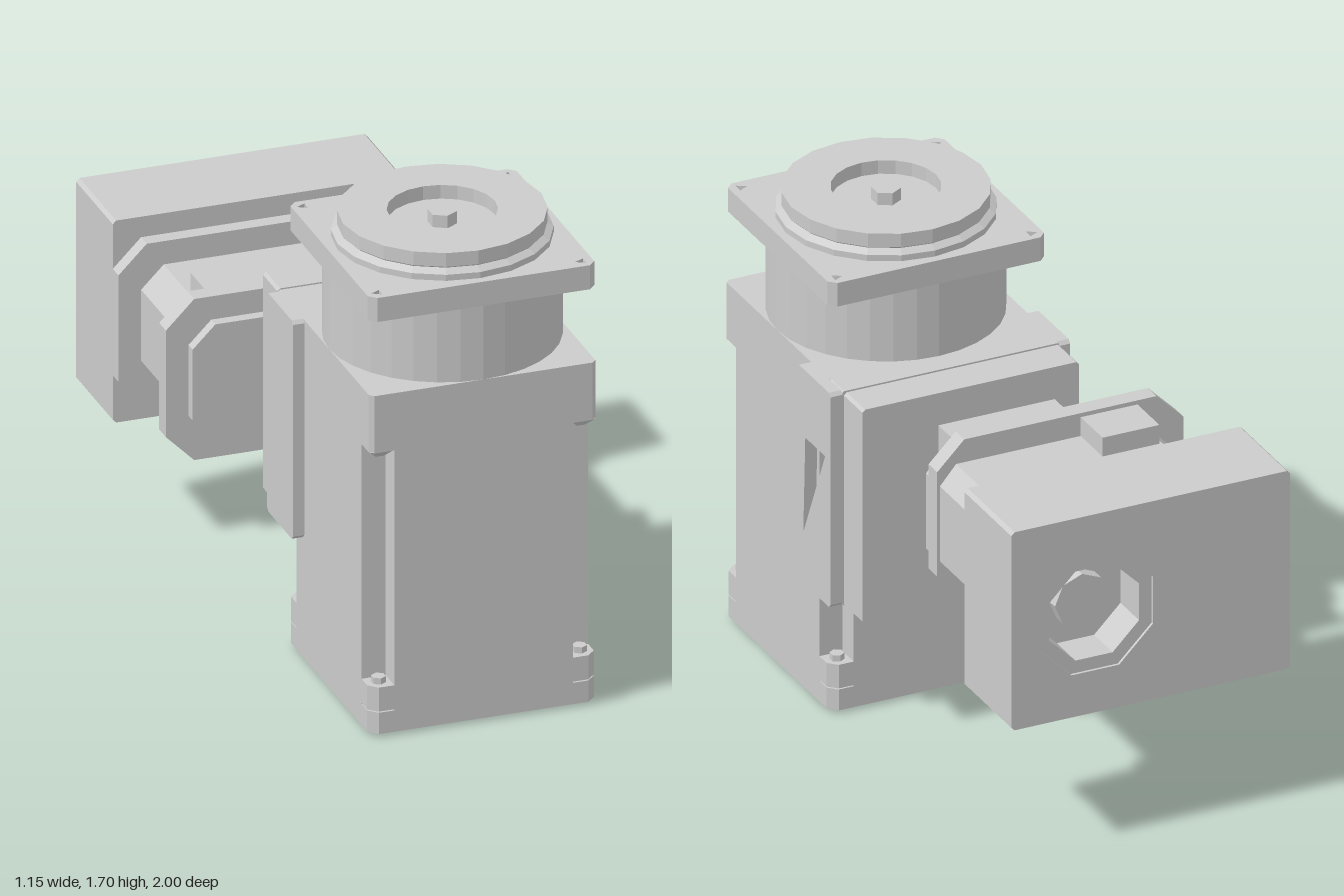
import * as THREE from 'three';

const material = new THREE.MeshStandardMaterial({ color: 0xcccccc, flatShading: true, side: THREE.DoubleSide });

// Rectangle centred on (cx, cy) with chamfered corners
function rect(cx, cy, w, h, c = 0.01) {
  const x = w / 2, y = h / 2;
  return poly([[-x + c, -y], [x - c, -y], [x, -y + c], [x, y - c], [x - c, y], [-x + c, y], [-x, y - c], [-x, -y + c]]
    .map(([a, b]) => [a + cx, b + cy]));
}

function poly(points) {
  return new THREE.Shape(points.map(([x, y]) => new THREE.Vector2(x, y)));
}

// Regular polygon used for round holes and discs
function ngon(cx, cy, r, n, turn = 0) {
  return poly(Array.from({ length: n }, (_, i) => {
    const a = (i / n) * Math.PI * 2 + turn;
    return [cx + r * Math.cos(a), cy + r * Math.sin(a)];
  }));
}

function withHoles(shape, ...holes) {
  shape.holes.push(...holes);
  return shape;
}

export function createModel() {
  const model = new THREE.Group();
  const gearbox = new THREE.Group();
  gearbox.name = 'gearbox';
  gearbox.position.set(0.13, 0, 0.6);
  model.add(gearbox);

  function add(parent, name, geometry) {
    const mesh = new THREE.Mesh(geometry, material);
    mesh.name = name;
    parent.add(mesh);
    return mesh;
  }
  const extrude = (shape, depth) => new THREE.ExtrudeGeometry(shape, { depth, bevelEnabled: false });
  // Horizontal slab between two heights
  const slabY = (name, shape, y0, y1) =>
    add(gearbox, name, extrude(shape, y1 - y0).rotateX(-Math.PI / 2).translate(0, y0, 0));
  // Upright slab between two depths
  const slabZ = (name, shape, z0, z1) => add(model, name, extrude(shape, z1 - z0).translate(0, 0, z0));
  const box = (name, x0, x1, y0, y1, z0, z1) => add(model, name,
    new THREE.BoxGeometry(x1 - x0, y1 - y0, z1 - z0).translate((x0 + x1) / 2, (y0 + y1) / 2, (z0 + z1) / 2));

  // Housing: base, notched column and full-width head
  slabY('baseRing', withHoles(ngon(0, 0, 0.33, 16), ngon(0, 0, 0.2, 14)), 0, 0.012);
  slabY('basePlate', withHoles(rect(0, 0, 0.8, 0.8, 0.03), ngon(0, 0, 0.2, 14)), 0.01, 0.088);
  slabY('baseCorners', rect(0, 0, 0.8, 0.8, 0.03), 0.092, 0.18);
  const a = 0.4, n = 0.315;
  slabY('column', poly([[-n, -a], [n, -a], [n, -n], [a, -n], [a, n], [n, n], [n, a], [-n, a], [-n, n], [-a, n], [-a, -n], [-n, -n]]), 0.08, 1.1);
  slabY('housingHead', rect(0, 0, 0.8, 0.8, 0.015), 1.04, 1.25);

  // Sloped roofs above the notches and screw heads on their floors
  for (const sx of [-1, 1]) for (const sz of [-1, 1]) {
    const screw = add(gearbox, 'baseScrew', new THREE.CylinderGeometry(0.025, 0.025, 0.025, 6));
    screw.position.set(sx * 0.355, 0.19, sz * 0.355);
    const roof = add(gearbox, 'notchRoof', new THREE.CylinderGeometry(0.06, 0.02, 0.03, 4, 1).rotateY(Math.PI / 4));
    roof.position.set(sx * 0.355, 1.027, sz * 0.355);
  }

  // Round neck, square flange and output disc
  add(gearbox, 'neck', new THREE.CylinderGeometry(0.4, 0.4, 0.28, 32).translate(0, 1.385, 0));
  const corner = 0.36;
  const boltHoles = [[-1, -1], [-1, 1], [1, -1], [1, 1]].map(([x, z]) => ngon(x * corner, z * corner, 0.022, 3, 1));
  slabY('outputFlange', withHoles(rect(0, 0, 0.8, 0.8, 0.025), ...boltHoles), 1.52, 1.608);
  const profile = [[0.37, 1.6], [0.37, 1.63], [0.345, 1.645], [0.35, 1.65], [0.35, 1.7], [0.185, 1.7], [0.185, 1.65], [0, 1.65]];
  add(gearbox, 'outputDisc', new THREE.LatheGeometry(profile.map(([r, y]) => new THREE.Vector2(r, y)), 20));
  add(gearbox, 'outputShaft', new THREE.CylinderGeometry(0.05, 0.05, 0.05, 6).translate(0, 1.67, 0));

  // Clamp wrapped round the back of the housing
  slabZ('clampBack', rect(0.13, 0.85, 0.8, 0.8, 0.005), 0.11, 0.21);
  for (const side of [-1, 1]) {
    const cheek = rect(0.235, 0.85, 0.25, 0.8, 0.012);
    if (side > 0) withHoles(cheek, poly([[0.3, 1], [0.15, 1], [0.315, 0.64]]));
    add(model, 'clampCheek', extrude(cheek, 0.045).rotateY(-Math.PI / 2))
      .position.x = side > 0 ? 0.575 : -0.265;
  }

  // Adapter plate with a raised boss
  slabZ('adapterPlate', rect(0.13, 0.85, 0.8, 0.8, 0.01), -0.04, 0.1);
  slabZ('adapterCore', rect(0.13, 0.85, 0.78, 0.78), 0.09, 0.12);
  box('adapterBoss', -0.18, 0.25, 0.57, 1.13, -0.13, -0.03);

  // Motor body, end frames and connector box
  slabZ('motorBody', poly([[-0.42, 0.64], [0.26, 0.64], [0.32, 0.71], [0.32, 0.99], [0.26, 1.06], [-0.42, 1.06], [-0.5, 0.98], [-0.5, 0.72]]), -0.65, -0.09);
  for (const [z0, z1] of [[-0.195, -0.13], [-0.65, -0.59]]) {
    slabZ('motorFrame', rect(-0.125, 0.85, 0.91, 0.59, 0.1), z0, z1);
  }
  box('connectorBox', -0.41, -0.2, 0.57, 1.13, -0.36, -0.15);

  // Rear block with an eight-sided stepped opening
  const blockOutline = () => rect(-0.065, 0.85, 1.03, 0.74, 0.012);
  const opening = r => ngon(0.14, 0.85, r, 8, Math.PI / 8);
  slabZ('rearBlockFront', blockOutline(), -0.85, -0.645);
  slabZ('rearBlockBack', withHoles(blockOutline(), opening(0.18)), -0.99, -0.85);
  slabZ('rearBlockRim', withHoles(blockOutline(), opening(0.23)), -1, -0.99);
  slabZ('rearHub', ngon(0.14, 0.85, 0.1, 8), -0.9, -0.84);

  return model;
}
